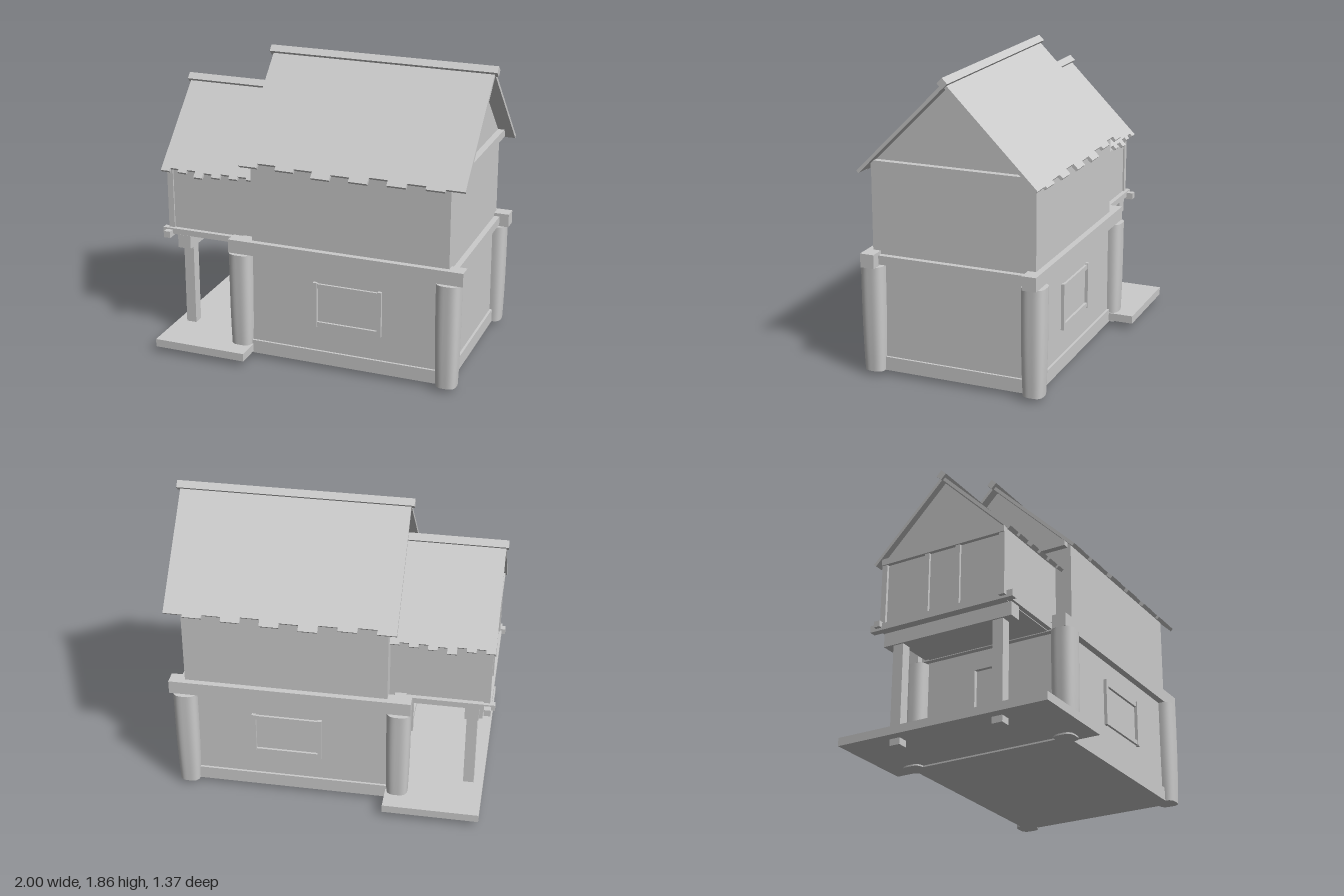
import * as THREE from 'three';

const mat = new THREE.MeshStandardMaterial({ color: 0xcccccc });

export function createModel() {
  const root = new THREE.Group();

  const add = (name, geometry) => {
    const m = new THREE.Mesh(geometry, mat);
    m.name = name;
    root.add(m);
    return m;
  };

  // Box given by its extents on each axis
  const box = (name, x0, x1, y0, y1, z0, z1) => {
    const m = add(name, new THREE.BoxGeometry(x1 - x0, y1 - y0, z1 - z0));
    m.position.set((x0 + x1) / 2, (y0 + y1) / 2, (z0 + z1) / 2);
    return m;
  };

  // The same box on the front and on the back
  const boxPair = (name, x0, x1, y0, y1, z0, z1) => {
    box(name + 'Front', x0, x1, y0, y1, z0, z1);
    box(name + 'Back', x0, x1, y0, y1, -z1, -z0);
  };

  // Gabled storey: house-shaped section extruded along x
  const gabled = (name, x0, x1, y0, eave, peak, halfZ) => {
    const s = new THREE.Shape([
      [-halfZ, y0], [halfZ, y0], [halfZ, eave], [0, peak], [-halfZ, eave],
    ].map(([a, b]) => new THREE.Vector2(a, b)));
    const m = add(name, new THREE.ExtrudeGeometry(s, { depth: x1 - x0, bevelEnabled: false }));
    m.rotation.y = Math.PI / 2;
    m.position.x = x0;
  };

  // Two 45 degree roof slopes with a stepped eave, and a diamond ridge beam
  const roof = (name, x0, x1, apex, eaves, ridgeX0, ridgeX1) => {
    const step = (x1 - x0) / eaves.length;
    for (const side of [1, -1]) {
      const pts = [new THREE.Vector2(side * x0, 0)];
      eaves.forEach((y, i) => {
        const d = (y - apex) * Math.SQRT2;
        pts.push(new THREE.Vector2(side * (x0 + i * step), d),
          new THREE.Vector2(side * (x0 + (i + 1) * step), d));
      });
      pts.push(new THREE.Vector2(side * x1, 0));
      const g = new THREE.ExtrudeGeometry(new THREE.Shape(pts), { depth: 0.02, bevelEnabled: false });
      g.translate(0, 0, -0.02);
      g.rotateX(-Math.PI / 4);
      if (side < 0) g.rotateY(Math.PI);
      add(name + (side > 0 ? 'SlopeFront' : 'SlopeBack'), g).position.y = apex;
    }
    const ridge = box(name + 'Ridge', ridgeX0, ridgeX1, apex - 0.026, apex + 0.02, -0.023, 0.023);
    ridge.rotation.x = Math.PI / 4;
  };

  // Corner pillar: rounded section, drawn in towards the foot
  const pillar = (x, z) => {
    const h = 0.073, r = 0.06, s = new THREE.Shape();
    s.moveTo(-h + r, -h);
    s.lineTo(h - r, -h);
    s.quadraticCurveTo(h, -h, h, -h + r);
    s.lineTo(h, h - r);
    s.quadraticCurveTo(h, h, h - r, h);
    s.lineTo(-h + r, h);
    s.quadraticCurveTo(-h, h, -h, h - r);
    s.lineTo(-h, -h + r);
    s.quadraticCurveTo(-h, -h, -h + r, -h);
    const outline = s.getPoints(8).slice(0, -1);
    const n = outline.length, rows = 10, pos = [], idx = [];
    for (let j = 0; j <= rows; j++) {
      const t = j / rows, k = 1 - 0.14 * Math.pow(1 - t, 3);
      for (const p of outline) pos.push(p.x * k, t * 0.66, p.y * k);
    }
    for (let j = 0; j < rows; j++) for (let i = 0; i < n; i++) {
      const a = j * n + i, b = j * n + (i + 1) % n;
      idx.push(a, a + n, b, b, a + n, b + n);
    }
    // Separate end caps keep the rims sharp
    for (const row of [0, rows]) {
      const base = pos.length / 3;
      pos.push(...pos.slice(row * n * 3, (row + 1) * n * 3));
      for (let i = 1; i < n - 1; i++) {
        if (row) idx.push(base, base + i + 1, base + i);
        else idx.push(base, base + i, base + i + 1);
      }
    }
    const g = new THREE.BufferGeometry();
    g.setAttribute('position', new THREE.Float32BufferAttribute(pos, 3));
    g.setIndex(idx);
    g.computeVertexNormals();
    add('cornerPillar', g).position.set(x, 0.03, z);
  };

  // Ground storey
  box('groundStorey', -0.43, 0.885, 0.03, 0.72, -0.51, 0.51);
  boxPair('plinth', -0.43, 0.885, 0.03, 0.115, 0.5, 0.525);
  box('plinthLeft', 0.87, 0.9, 0.03, 0.115, -0.5, 0.5);
  box('plinthRight', -0.445, -0.42, 0.03, 0.115, -0.5, 0.5);
  for (const x of [-0.432, 0.886]) for (const z of [-0.508, 0.508]) pillar(x, z);

  // Window frames, front and back
  boxPair('windowTop', 0.065, 0.45, 0.53, 0.558, 0.5, 0.525);
  boxPair('windowBottom', 0.065, 0.45, 0.28, 0.308, 0.5, 0.525);
  for (const x of [0.04, 0.45]) boxPair('windowSide', x, x + 0.025, 0.275, 0.565, 0.5, 0.53);

  // Door frame under the wing
  for (const z of [-0.12, 0.09]) box('doorJamb', -0.455, -0.42, 0.09, 0.6, z, z + 0.03);
  box('doorLintel', -0.455, -0.42, 0.57, 0.6, -0.12, 0.12);

  // Beams between the storeys
  boxPair('storeyBeam', -0.505, 0.98, 0.69, 0.775, 0.465, 0.552);
  box('storeyBeamLeft', 0.85, 0.92, 0.7, 0.755, -0.47, 0.47);
  box('storeyBeamRight', -0.465, -0.395, 0.7, 0.755, -0.47, 0.47);

  // Upper storey and main roof
  gabled('upperStorey', -0.36, 0.885, 0.7, 1.291, 1.806, 0.515);
  box('gableTieLeft', 0.87, 0.925, 1.28, 1.33, -0.495, 0.495);
  box('gableTieRight', -0.4, -0.345, 1.28, 1.33, -0.495, 0.495);
  roof('mainRoof', -0.415, 0.98, 1.835,
    [1.265, 1.285, 1.265, 1.28, 1.25, 1.275, 1.255, 1.285, 1.26, 1.28, 1.265, 1.275], -0.435, 1);

  // Wing storey with timber frame
  gabled('wingStorey', -0.95, -0.35, 0.72, 1.16, 1.57, 0.41);
  boxPair('wingCornerPost', -0.968, -0.93, 0.72, 1.14, 0.385, 0.42);
  for (const z of [-0.12, 0.09]) box('wingStud', -0.966, -0.94, 0.73, 1.13, z, z + 0.03);
  box('wingTieBeam', -0.975, -0.935, 1.12, 1.16, -0.42, 0.42);
  boxPair('wingSill', -1, -0.43, 0.71, 0.747, 0.4, 0.44);
  box('wingEndSill', -0.977, -0.935, 0.695, 0.737, -0.48, 0.48);
  box('wingFloor', -0.95, -0.42, 0.705, 0.73, -0.41, 0.41);
  roof('wingRoof', -0.985, -0.36, 1.605,
    [1.135, 1.15, 1.135, 1.15, 1.12, 1.145, 1.13, 1.15, 1.135, 1.15, 1.14], -1, -0.36);

  // Porch platform, posts and cross beam
  box('porchPlatform', -0.955, -0.36, 0.04, 0.09, -0.685, 0.685);
  boxPair('porchPost', -0.895, -0.83, 0, 0.64, 0.302, 0.37);
  box('porchBeam', -0.905, -0.82, 0.62, 0.705, -0.43, 0.43);

  return root;
}
